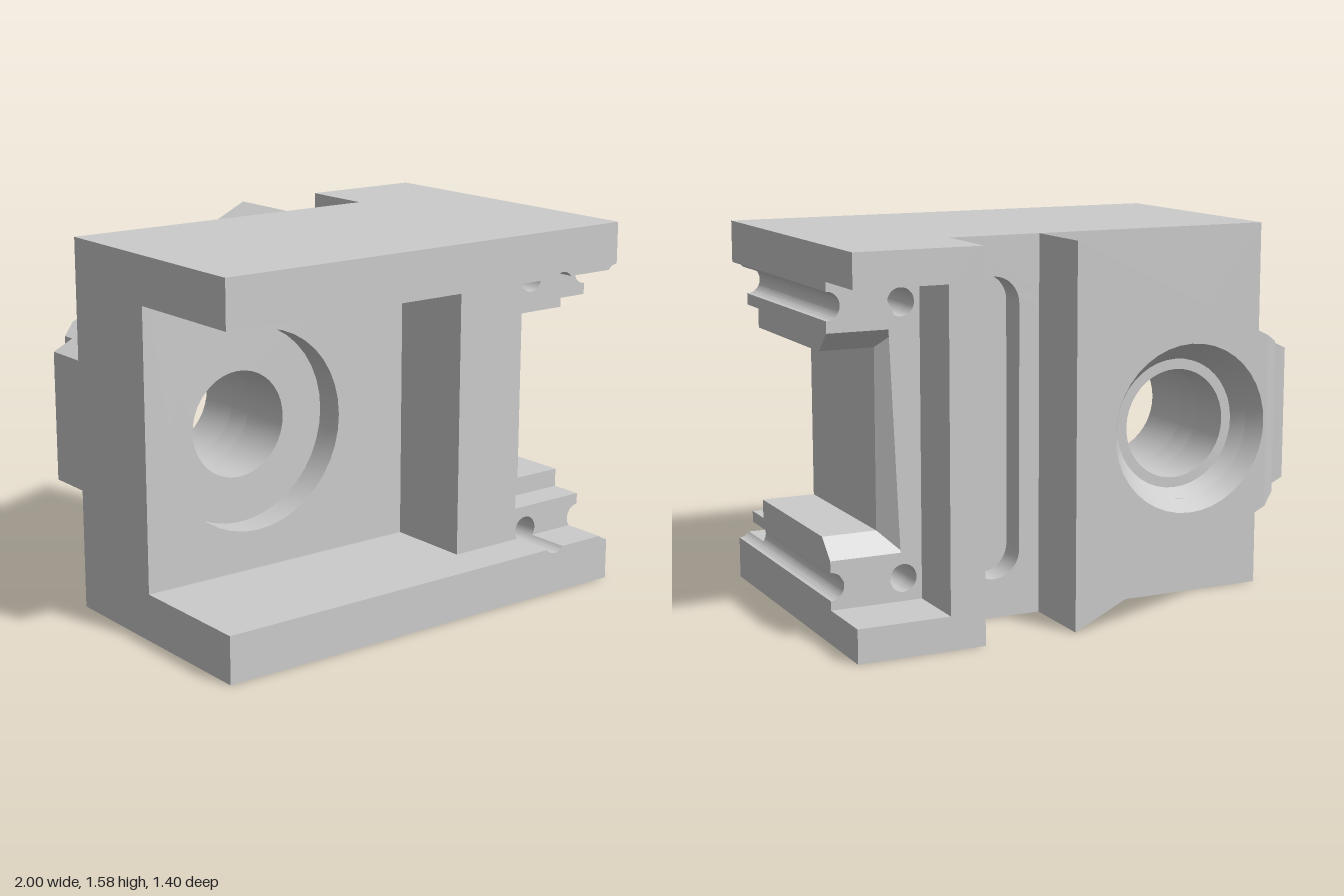
import * as THREE from 'three';
import { toCreasedNormals } from 'three/addons/utils/BufferGeometryUtils.js';

const H = 1.58, MID = H / 2;            // full height and mirror height
const GY = 0.235, GR = 0.057, GX = 0.69; // rod grooves
const BX = -0.465;                       // bore centre
const material = new THREE.MeshStandardMaterial({ color: 0xcccccc, side: THREE.DoubleSide });

const circle = (x, y, r) => new THREE.Path().absarc(x, y, r, 0, Math.PI * 2, false);
const bore = (r) => circle(BX, MID, r);
const rodHoles = () => [circle(GX, GY, GR), circle(GX, H - GY, GR)];
const polygon = (pts) => new THREE.Shape(pts.map(([x, y]) => new THREE.Vector2(x, y)));

// Right-hand side of a section: open notch from xIn to x = 1, half rod grooves on the edge
function notched(leftPoints, xIn, yLow, grooves = true) {
  const s = new THREE.Shape();
  s.moveTo(leftPoints[leftPoints.length - 1][0], 0);
  s.lineTo(1, 0);
  if (grooves) {
    s.lineTo(1, GY - GR);
    s.absarc(1, GY, GR, -Math.PI / 2, Math.PI / 2, true);
  }
  s.lineTo(1, yLow);
  s.lineTo(xIn, yLow);
  s.lineTo(xIn, H - yLow);
  s.lineTo(1, H - yLow);
  if (grooves) {
    s.lineTo(1, H - GY - GR);
    s.absarc(1, H - GY, GR, -Math.PI / 2, Math.PI / 2, true);
  }
  s.lineTo(1, H);
  leftPoints.forEach(([x, y]) => s.lineTo(x, y));
  return s;
}

// Flange section with the rod grooves cut into its inner face
function flangeShape(top) {
  const a = Math.asin((GY - 0.2) / GR);
  const s = new THREE.Shape();
  s.moveTo(-1, 0);
  s.lineTo(1, 0);
  s.lineTo(1, GY - GR);
  s.absarc(1, GY, GR, -Math.PI / 2, -Math.PI + a, true);
  s.absarc(GX, GY, GR, -a, -Math.PI + a, true);
  s.lineTo(-1, 0.2);
  return top ? new THREE.Shape(s.getPoints(16).map((p) => new THREE.Vector2(p.x, H - p.y))) : s;
}

// Wedge section: full height at x = 0.06, narrowing towards -x
const wedgeHalf = (x) => MID - (0.06 - x) * 0.483;
const wedgeShape = (x) => polygon([
  [x, MID - wedgeHalf(x)], [0.06, 0], [0.06, H], [x, MID + wedgeHalf(x)],
]);

// Vertical slot with round ends
function slotPath() {
  const p = new THREE.Path(), x = 0.265, r = 0.115;
  p.absarc(x, 1.3, r, 0, Math.PI, false);
  p.absarc(x, H - 1.3, r, Math.PI, Math.PI * 2, false);
  p.closePath();
  return p;
}

export function createModel() {
  const model = new THREE.Group();

  // Extrude a section from z0 to z1; the rule may move the vertices of the rear end
  function slab(name, shape, z0, z1, holes = [], rearRule = null) {
    shape.holes.push(...holes);
    let geo = new THREE.ExtrudeGeometry(shape, { depth: z1 - z0, bevelEnabled: false, curveSegments: 20 });
    if (rearRule) {
      const p = geo.attributes.position;
      for (let i = 0; i < p.count; i++) {
        if (p.getZ(i) > 1e-5) continue;
        const [x, y] = rearRule(p.getX(i), p.getY(i));
        p.setXY(i, x, y);
      }
    }
    geo.translate(0, 0, z0);
    geo = toCreasedNormals(geo, 0.4);
    const mesh = new THREE.Mesh(geo, material);
    mesh.name = name;
    model.add(mesh);
  }

  // Front lips of the flanges
  slab('bottomFlangeLip', flangeShape(false), 0.51, 0.7);
  slab('topFlangeLip', flangeShape(true), 0.51, 0.7);

  // Flanges joined by the clamp block, with a shallow front recess and a window
  const stepped = [[-1, H], [-1, 1.38], [0.3, 1.38], [0.3, 0.2], [-1, 0.2], [-1, 0]];
  slab('clampFront', notched(stepped, 0.63, 0.34), 0.37, 0.51, rodHoles());
  slab('clampMiddle', notched(stepped, 0.77, 0.42), 0.13, 0.37, rodHoles());

  // Rear of the clamp block, its window flaring towards the back
  const straight = [[0.46, H], [0.46, 0]];
  slab('clampRear', notched(straight, 0.77, 0.42), -0.335, 0.13, rodHoles());
  slab('windowChamfer', notched(straight, 0.77, 0.42), -0.42, -0.335, rodHoles(), (x, y) => {
    const onWindow = x > 0.76 && y > 0.4 && y < H - 0.4;
    if (!onWindow) return [x, y];
    return [x < 0.8 ? 0.69 : x, y < MID ? 0.34 : H - 0.34];
  });
  slab('rearColumn', notched(straight, 0.61, 0.14, false), -0.7, -0.42);

  // Web with counterbore, bore and rear slot
  const web = () => polygon([[-1, 0], [0.46, 0], [0.46, H], [-1, H]]);
  slab('webCounterbore', web(), 0, 0.13, [bore(0.425)]);
  slab('webCore', web(), -0.25, 0, [bore(0.227)]);
  slab('webSlot', web(), -0.37, -0.25, [bore(0.227), slotPath()]);

  // Wedge boss with stepped nose and countersunk bore
  const sink = (z) => 0.27 + 0.08 * (-0.57 - z) / 0.13;
  const flare = (from, to) => (x, y) => {
    const k = to / from;
    return [BX + (x - BX) * k, MID + (y - MID) * k];
  };
  const inSink = (x, y) => Math.hypot(x - BX, y - MID) < 0.36;
  slab('wedgeBase', wedgeShape(-1), -0.57, -0.37, [bore(0.227)]);
  slab('wedgeStep', wedgeShape(-0.91), -0.63, -0.57, [bore(sink(-0.57))], (x, y) =>
    inSink(x, y) ? flare(sink(-0.57), sink(-0.63))(x, y) : [x, y]);
  slab('wedgeChamfer', wedgeShape(-0.91), -0.7, -0.63, [bore(sink(-0.63))], (x, y) => {
    if (inSink(x, y)) return flare(sink(-0.63), sink(-0.7))(x, y);
    if (x > 0) return [x, y];
    return [-0.83, MID + Math.sign(y - MID) * wedgeHalf(-0.83)];
  });

  return model;
}
